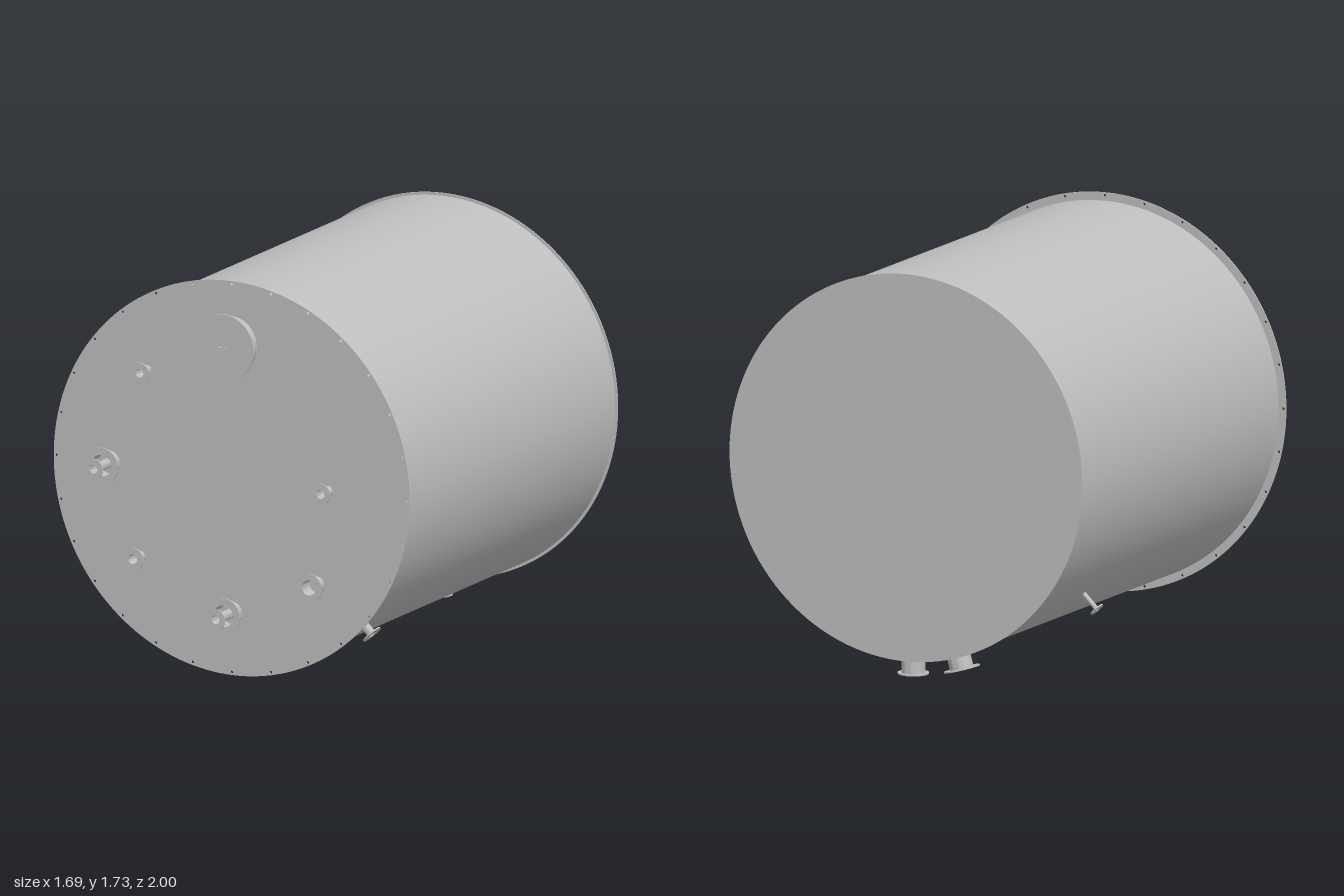
import * as THREE from 'three';
import { toCreasedNormals } from 'three/addons/utils/BufferGeometryUtils.js';

const CY = 0.885;      // height of the tank axis
const SHELL_R = 0.81;
const FRONT_Z = 0.86;
const BACK_Z = -0.99;

export function createModel() {
  const model = new THREE.Group();
  const steel = new THREE.MeshStandardMaterial({ color: 0xbfbfbf });
  steel.name = 'steelGrey';

  const add = (name, geometry, parent = model) => {
    const mesh = new THREE.Mesh(geometry, steel);
    mesh.name = name;
    parent.add(mesh);
    return mesh;
  };

  // Turned part around +y from a profile, with sharp edges kept
  const turned = (points, segments = 40) => toCreasedNormals(
    new THREE.LatheGeometry(points.map(([r, y]) => new THREE.Vector2(r, y)), segments), 0.5);

  // Point a part's +y axis along a direction
  const aim = (object, position, direction) => {
    object.position.copy(position);
    object.quaternion.setFromUnitVectors(new THREE.Vector3(0, 1, 0), direction);
  };

  // Open pipe with a thin flange at its end
  const nozzle = (name, position, direction, neckR, flangeR, length, sink = 0) => {
    const t = 0.006;
    const bore = neckR * 0.93;
    const mesh = add(name, turned([
      [neckR, -sink], [neckR, length - t], [flangeR, length - t], [flangeR, length],
      [bore, length], [bore, 0.002], [0, 0.002],
    ]));
    aim(mesh, position, direction);
  };

  // Shell
  const shell = add('shell', new THREE.CylinderGeometry(
    SHELL_R, SHELL_R, FRONT_Z - BACK_Z - 0.006, 128, 1, true));
  shell.rotation.x = Math.PI / 2;
  shell.position.set(0, CY, (FRONT_Z + BACK_Z) / 2);

  // Back plate, slightly wider than the shell
  const back = add('backPlate', toCreasedNormals(
    new THREE.CylinderGeometry(0.822, 0.822, 0.005, 128), 0.5));
  back.rotation.x = Math.PI / 2;
  back.position.set(0, CY, BACK_Z + 0.0025);

  // Front plate with a ring of bolt holes
  const disc = new THREE.Shape();
  disc.absarc(0, 0, 0.845, 0, Math.PI * 2, false);
  const holeCount = 28;
  for (let i = 0; i < holeCount; i++) {
    const a = (i / holeCount) * Math.PI * 2;
    const points = [];
    for (let j = 0; j < 12; j++) {
      const b = -(j / 12) * Math.PI * 2;
      points.push(new THREE.Vector2(
        0.832 * Math.sin(a) + 0.006 * Math.cos(b),
        0.832 * Math.cos(a) + 0.006 * Math.sin(b)));
    }
    disc.holes.push(new THREE.Path(points));
  }
  const front = add('frontPlate', toCreasedNormals(new THREE.ExtrudeGeometry(disc, {
    depth: 0.005, bevelEnabled: false, curveSegments: 128,
  }), 0.5));
  front.position.set(0, CY, FRONT_Z - 0.005);

  // Manhole with cover and handle
  const forward = new THREE.Vector3(0, 0, 1);
  const manhole = new THREE.Group();
  manhole.name = 'manhole';
  manhole.position.set(0, 1.46, FRONT_Z);
  model.add(manhole);
  const cover = add('manholeCover', turned([
    [0.12, 0], [0.12, 0.064], [0.142, 0.064], [0.142, 0.071], [0, 0.071],
  ], 64), manhole);
  aim(cover, new THREE.Vector3(), forward);
  add('manholeHandle', new THREE.BoxGeometry(0.036, 0.006, 0.006), manhole)
    .position.set(0, 0, 0.088);
  for (const side of [-1, 1]) {
    add('handlePost', new THREE.BoxGeometry(0.006, 0.006, 0.02), manhole)
      .position.set(side * 0.015, 0, 0.079);
  }

  // Front nozzles: x, y, neck radius, flange radius
  const frontNozzles = [
    [-0.4, 1.302, 0.02, 0.045],
    [0.46, 0.884, 0.021, 0.045],
    [-0.432, 0.5, 0.022, 0.05],
    [0.405, 0.476, 0.035, 0.06],
  ];
  for (const [x, y, neckR, flangeR] of frontNozzles) {
    nozzle('frontNozzle', new THREE.Vector3(x, y, FRONT_Z), forward, neckR, flangeR, 0.07);
  }

  // Wide front nozzles with a slim inner pipe reaching further out
  for (const [x, y] of [[-0.58, 0.884], [0, 0.307]]) {
    const position = new THREE.Vector3(x, y, FRONT_Z);
    nozzle('wideNozzle', position, forward, 0.05, 0.077, 0.07);
    nozzle('innerPipe', position, forward, 0.02, 0.044, 0.14);
  }

  // Nozzles standing radially on the shell; angle is from straight down towards +x
  const radialNozzle = (name, degrees, z, neckR, flangeR, reach) => {
    const a = THREE.MathUtils.degToRad(degrees);
    const direction = new THREE.Vector3(Math.sin(a), -Math.cos(a), 0);
    const position = direction.clone().multiplyScalar(SHELL_R).add(new THREE.Vector3(0, CY, z));
    nozzle(name, position, direction, neckR, flangeR, reach - SHELL_R, 0.01);
  };
  radialNozzle('bottomDrain', 0, -0.922, 0.05, 0.066, 0.885);
  radialNozzle('angledDrain', -15, -0.922, 0.05, 0.077, 0.877);
  radialNozzle('leftSideNozzle', 45, 0.77, 0.019, 0.045, 0.875);
  radialNozzle('rightSideNozzle', -45, -0.48, 0.01, 0.032, 0.9);

  return model;
}
